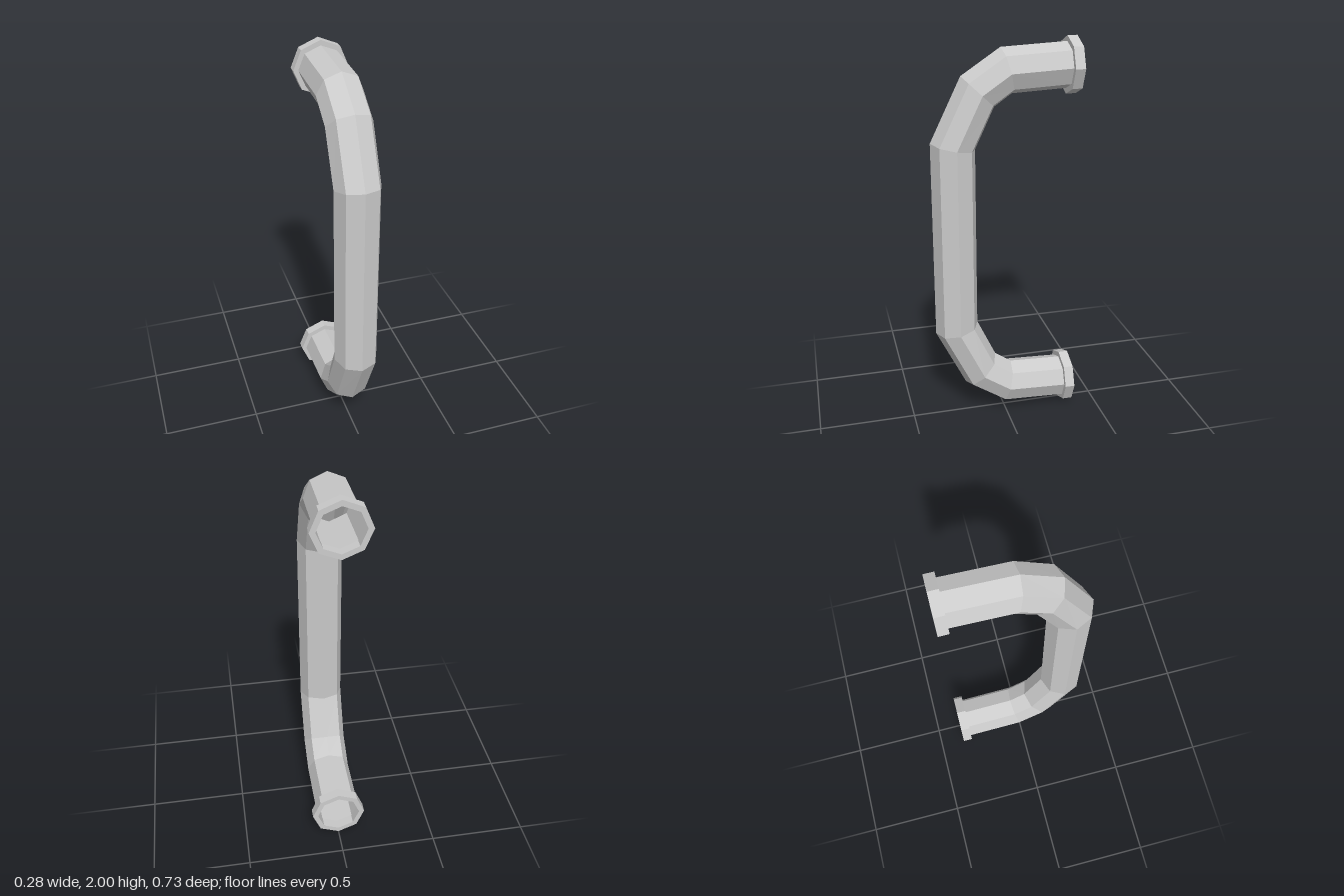
import * as THREE from 'three';

const SIDES = 8;
const PIPE_R = 0.115;
const FLANGE_R = 0.14;
const BACK = -0.365, DEPTH = 0.05;

// Outline of the upper half in the side plane: [outer z, outer y, inner z, inner y]
const upper = [
  [-0.315, 1.973, -0.315, 1.748],
  [0.015, 1.957, -0.04, 1.735],
  [0.21, 1.828, 0.047, 1.674],
  [0.365, 1.512, 0.143, 1.47],
];
const lower = upper.map(([oz, oy, iz, iy]) => [oz, 2 - oy, iz, 2 - iy]).reverse();

// Eight-sided tube skinned through mitred rings
function pipeGeometry(sections) {
  const pos = [], index = [];
  for (const [oz, oy, iz, iy] of sections) {
    for (let j = 0; j < SIDES; j++) {
      const a = (j / SIDES) * Math.PI * 2;
      const t = (1 + Math.cos(a)) / 2;
      pos.push(PIPE_R * Math.sin(a), iy + (oy - iy) * t, iz + (oz - iz) * t);
    }
  }
  for (let i = 0; i < sections.length - 1; i++) {
    for (let j = 0; j < SIDES; j++) {
      const a = i * SIDES + j, b = i * SIDES + (j + 1) % SIDES;
      index.push(a, a + SIDES, b, b, a + SIDES, b + SIDES);
    }
  }
  const g = new THREE.BufferGeometry();
  g.setAttribute('position', new THREE.Float32BufferAttribute(pos, 3));
  g.setIndex(index);
  const flat = g.toNonIndexed();
  flat.computeVertexNormals();
  return flat;
}

function octagon(r) {
  return Array.from({ length: SIDES }, (_, j) => {
    const a = (j / SIDES) * Math.PI * 2;
    return new THREE.Vector2(r * Math.cos(a), r * Math.sin(a));
  });
}

export function createModel() {
  const model = new THREE.Group();
  model.name = 'pullHandle';
  const material = new THREE.MeshStandardMaterial({
    color: 0xcccccc, flatShading: true, side: THREE.DoubleSide,
  });

  // Bent grip, open at both ends
  const grip = new THREE.Mesh(pipeGeometry([...upper, ...lower]), material);
  grip.name = 'grip';
  model.add(grip);

  // Mounting collars
  const shape = new THREE.Shape(octagon(FLANGE_R));
  shape.holes.push(new THREE.Path(octagon(0.112)));
  const collarGeometry = new THREE.ExtrudeGeometry(shape, { depth: DEPTH, bevelEnabled: false });
  for (const [name, y] of [['upperCollar', 2 - FLANGE_R], ['lowerCollar', FLANGE_R]]) {
    const collar = new THREE.Mesh(collarGeometry, material);
    collar.name = name;
    collar.position.set(0, y, BACK);
    model.add(collar);
  }
  return model;
}
